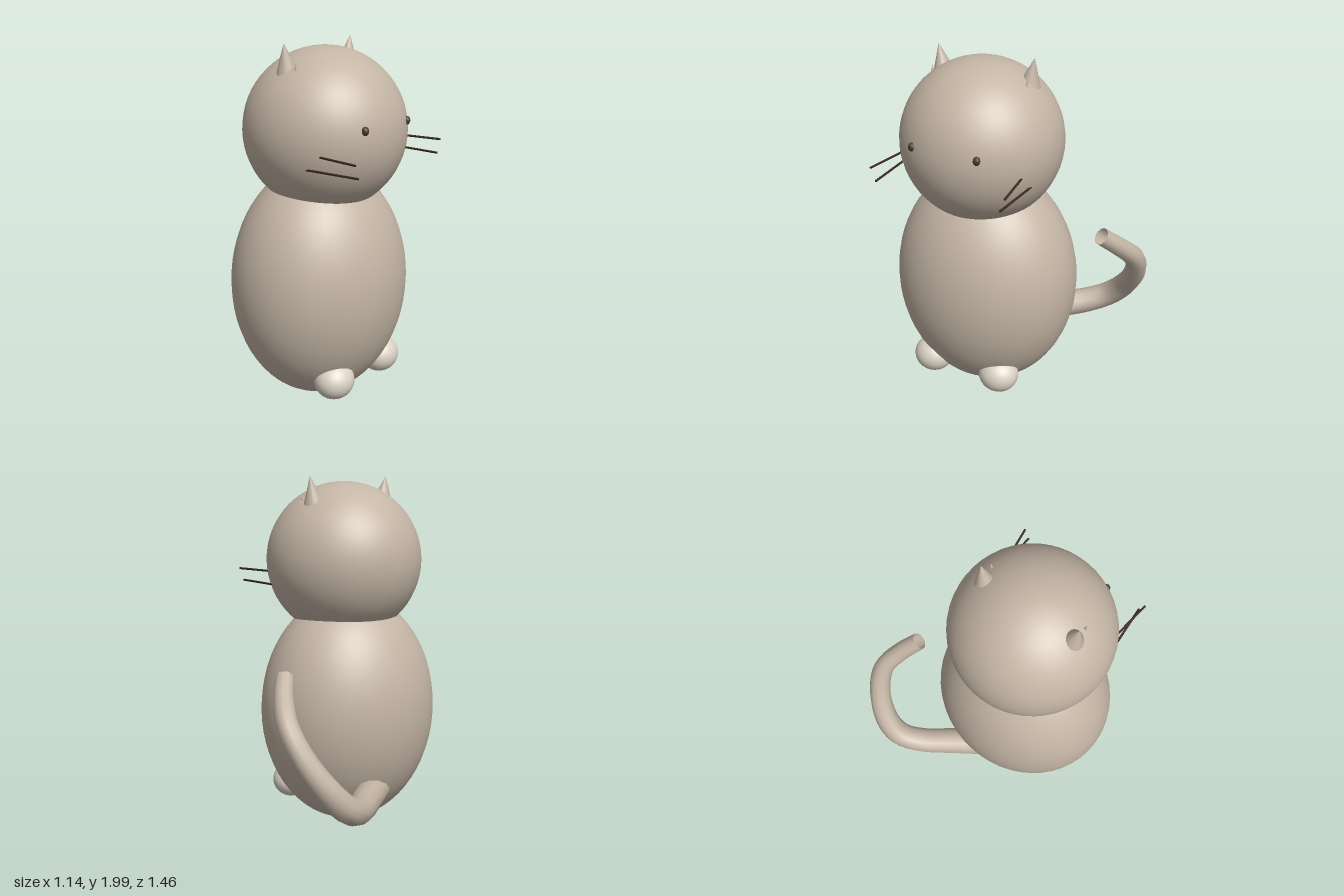
import * as THREE from 'three';

const material = (name, color, side = THREE.FrontSide) => {
  const m = new THREE.MeshStandardMaterial({ color, side });
  m.name = name;
  return m;
};

export function createModel() {
  const fur = material('fur', 0xc4b5a5, THREE.DoubleSide);
  const paw = material('paw', 0xdbd3c5);
  const eyeBrown = material('eyeBrown', 0x4f3b2f);
  const whiskerBrown = material('whiskerBrown', 0x3d2a1c);

  const root = new THREE.Group();
  root.name = 'cat';

  // Body, head and face share a slight turn to the cat's left
  const torso = new THREE.Group();
  torso.name = 'torso';
  torso.position.set(-0.05, 0, 0.12);
  torso.rotation.y = 0.35;
  root.add(torso);

  const add = (name, geometry, mat, x, y, z, parent = torso) => {
    const mesh = new THREE.Mesh(geometry, mat);
    mesh.name = name;
    mesh.position.set(x, y, z);
    parent.add(mesh);
    return mesh;
  };
  const ellipsoid = (rx, ry, rz, w = 48, h = 32) =>
    new THREE.SphereGeometry(1, w, h).scale(rx, ry, rz);

  add('body', ellipsoid(0.527, 0.668, 0.468), fur, 0, 0.674, -0.011);
  add('head', ellipsoid(0.442, 0.442, 0.442), fur, 0, 1.53, 0.025);

  // Cones hang from their tips so the ears are placed by the tip
  const earCone = new THREE.ConeGeometry(0.073, 0.19, 16).translate(0, -0.095, 0);
  const innerCone = new THREE.ConeGeometry(0.017, 0.07, 10).translate(0, -0.035, 0);
  const eyeBall = ellipsoid(0.02, 0.024, 0.02, 8, 6);
  const footBall = ellipsoid(0.115, 0.103, 0.108, 32, 20);

  // Each whisker: start and end in x and z, at one height
  const whiskers = [
    [1.47, 0.355, 0.26, 0.388, 0.508],
    [1.4, 0.378, 0.18, 0.362, 0.507],
  ];

  for (const side of [1, -1]) {
    const tag = side > 0 ? 'left' : 'right';
    add(tag + 'Ear', earCone, fur, side * 0.281, 2, -0.02).rotation.z = -side * 0.18;
    add(tag + 'InnerEar', innerCone, fur, side * 0.28, 1.908, 0.055).rotation.z = -side * 0.18;
    add(tag + 'Eye', eyeBall, eyeBrown, side * 0.187, 1.592, 0.42);
    add(tag + 'Foot', footBall, paw, side * 0.215, 0.203, 0.26);

    whiskers.forEach(([y, x0, z0, x1, z1], i) => {
      const dx = side * (x1 - x0), dz = z1 - z0;
      const rod = new THREE.CylinderGeometry(0.006, 0.006, Math.hypot(dx, dz), 8).rotateX(Math.PI / 2);
      add(tag + 'Whisker' + (i + 1), rod, whiskerBrown, side * (x0 + x1) / 2, y, (z0 + z1) / 2)
        .rotation.y = Math.atan2(dx, dz);
    });
  }

  // Tail: open curled tube, narrowed towards the tip
  const path = new THREE.CatmullRomCurve3([
    [-0.1, 0.265, -0.19], [0.03, 0.27, -0.38], [0.14, 0.285, -0.54],
    [0.235, 0.335, -0.635], [0.33, 0.43, -0.66], [0.45, 0.6, -0.615],
    [0.512, 0.765, -0.525], [0.495, 0.88, -0.4], [0.455, 0.97, -0.29],
  ].map((p) => new THREE.Vector3(...p)));
  const rings = 40, sides = 12;
  const tail = new THREE.TubeGeometry(path, rings, 1, sides, false);
  const pos = tail.attributes.position, v = new THREE.Vector3();
  for (let i = 0; i < pos.count; i++) {
    const t = Math.floor(i / (sides + 1)) / rings;
    const centre = path.getPointAt(t);
    v.fromBufferAttribute(pos, i).sub(centre).multiplyScalar(0.088 - 0.038 * t).add(centre);
    pos.setXYZ(i, v.x, v.y, v.z);
  }
  add('tail', tail, fur, 0, 0, 0, root);

  return root;
}
